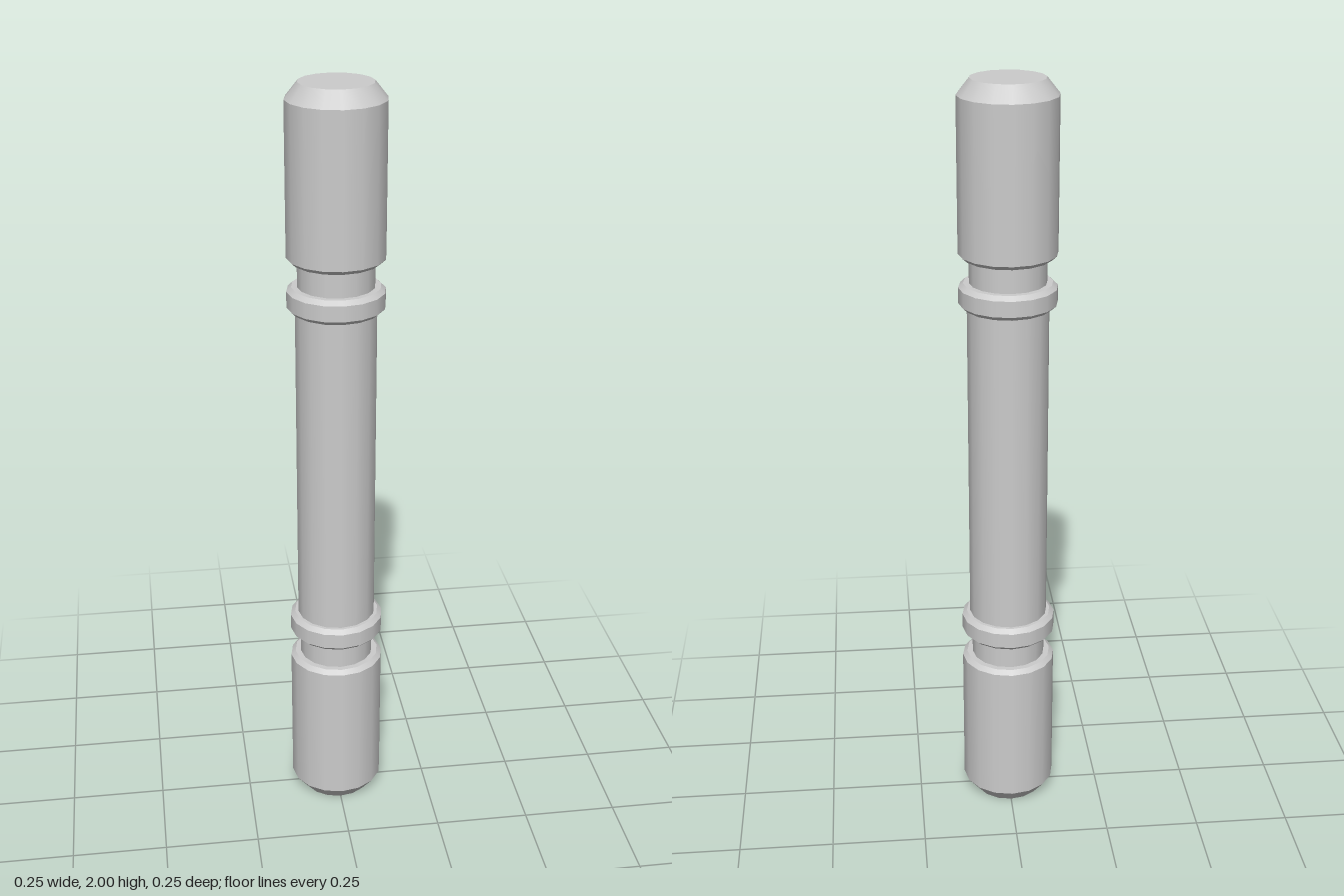
import * as THREE from 'three';
import { mergeGeometries } from 'three/addons/utils/BufferGeometryUtils.js';

const SIDES = 16;
const material = new THREE.MeshStandardMaterial({ color: 0xcccccc });

// Turned solid: smooth around the axis, with a sharp edge at every profile point.
function turned(name, profile) {
  const bands = [];
  for (let i = 0; i < profile.length - 1; i++) {
    const pair = [profile[i], profile[i + 1]].map(([r, y]) => new THREE.Vector2(r, y));
    bands.push(new THREE.LatheGeometry(pair, SIDES));
  }
  const mesh = new THREE.Mesh(mergeGeometries(bands), material);
  mesh.name = name;
  return mesh;
}

// Profiles as [radius, height], from the bottom up.
const GRIP = [[0, 0], [0.093, 0], [0.125, 0.04], [0.125, 0.427], [0.113, 0.438], [0, 0.438]];
const NECK = [[0.098, 0.43], [0.098, 0.51]];
const COLLAR = [[0, 0.503], [0.113, 0.503], [0.125, 0.514], [0.125, 0.555], [0.113, 0.566], [0, 0.566]];
const SHAFT = [[0.104, 0.56], [0.104, 1.44]];

// The same profile turned upside down about mid-height.
const flip = (profile) => profile.map(([r, y]) => [r, 2 - y]).reverse();

export function createModel() {
  const model = new THREE.Group();
  model.name = 'turnedRod';
  model.add(turned('shaft', SHAFT));

  // Matching fittings at both ends
  for (const [end, place] of [['lower', (p) => p], ['upper', flip]]) {
    model.add(
      turned(end + 'Grip', place(GRIP)),
      turned(end + 'Neck', place(NECK)),
      turned(end + 'Collar', place(COLLAR))
    );
  }
  return model;
}
